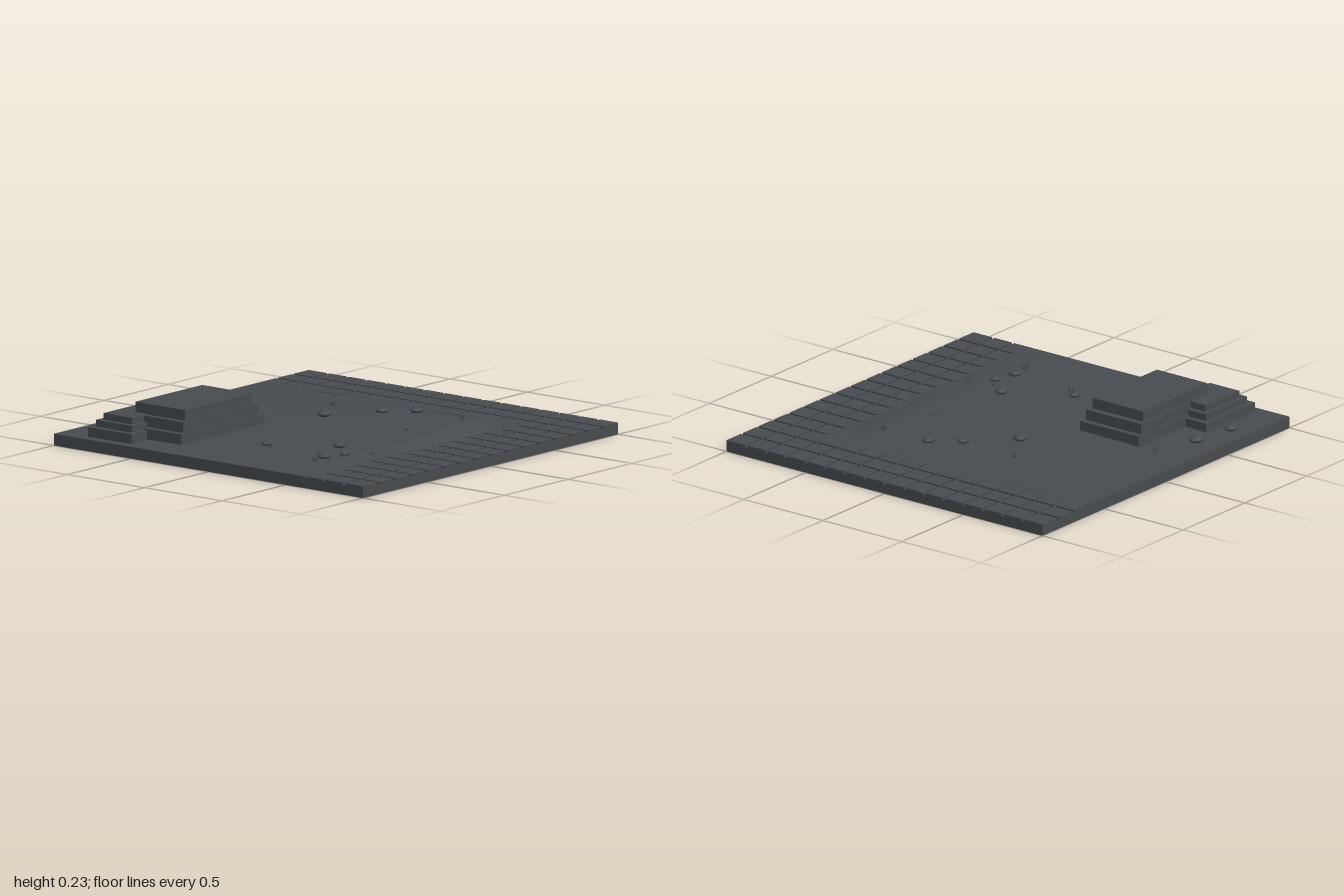
import * as THREE from 'three';

const stone = new THREE.MeshStandardMaterial({ color: 0x484c50 });
stone.name = 'dark slate';

const smooth = THREE.MathUtils.smoothstep;

// Height of the soil: almost flat at the back left, a low mound at the front right
function groundHeight(x, z) {
  const wobble = 0.02 * Math.sin(9 * x + 2) * Math.sin(8 * z);
  const edge = Math.max(x, z) + wobble;
  const corner = Math.hypot(Math.max(x - 0.4, 0), Math.max(z - 0.4, 0)) + 0.4;
  const inside = 1 - smooth(Math.max(edge, corner), 0.5, 0.65);
  const back = smooth(z, -1, -0.5) * smooth(x, -1, -0.75);
  const mound = 0.008 + 0.02 * smooth(x, -0.5, 0.45) * smooth(z, -0.8, 0.2);
  const sink = 0.012 * smooth(edge, 0.63, 0.71);
  return 0.06 + inside * back * mound - sink;
}

export function createModel() {
  const model = new THREE.Group();
  model.name = 'courtyard';

  const add = (geometry, name, x = 0, y = 0, z = 0, parent = model) => {
    const mesh = new THREE.Mesh(geometry, stone);
    mesh.name = name;
    mesh.position.set(x, y, z);
    parent.add(mesh);
    return mesh;
  };
  // Box given by its limits
  const block = (name, x0, x1, y0, y1, z0, z1, parent = model) =>
    add(new THREE.BoxGeometry(x1 - x0, y1 - y0, z1 - z0), name,
      (x0 + x1) / 2, (y0 + y1) / 2, (z0 + z1) / 2, parent);

  // Base slab and the soil bed on it
  block('baseSlab', -1, 1, 0, 0.048, -1, 1);
  block('soilBed', -1, 0.625, 0.048, 0.0595, -1, 0.625);

  // Uneven soil surface
  const soil = new THREE.PlaneGeometry(1.72, 1.72, 43, 43);
  soil.rotateX(-Math.PI / 2).translate(-0.14, 0, -0.14);
  const p = soil.attributes.position;
  for (let i = 0; i < p.count; i++) p.setY(i, groundHeight(p.getX(i), p.getZ(i)));
  soil.computeVertexNormals();
  add(soil, 'soilSurface');

  // Paving: three rows of tiles along the front and the right
  const paving = new THREE.Group();
  paving.name = 'paving';
  model.add(paving);
  const pitch = 0.125, gap = 0.008;
  for (let i = 0; i < 16; i++) {
    for (let j = 0; j < 16; j++) {
      if (i < 13 && j < 13) continue;
      const x = -1 + i * pitch, z = -1 + j * pitch;
      block('tile', x + (i ? gap : 0), x + pitch - (i < 15 ? gap : 0), 0.045, 0.06,
        z + (j ? gap : 0), z + pitch - (j < 15 ? gap : 0), paving);
    }
  }

  // Two overlapping stepped platforms: [x0, x1, top, z0, z1]
  const platforms = {
    largePlatform: [
      [-0.83, -0.176, 0.12, -0.69, -0.317],
      [-0.797, -0.208, 0.175, -0.678, -0.331],
      [-0.765, -0.241, 0.23, -0.665, -0.345],
    ],
    smallPlatform: [
      [-0.95, -0.555, 0.11, -0.82, -0.537],
      [-0.918, -0.585, 0.145, -0.795, -0.561],
      [-0.888, -0.615, 0.178, -0.77, -0.585],
    ],
  };
  for (const [name, tiers] of Object.entries(platforms)) {
    const group = new THREE.Group();
    group.name = name;
    model.add(group);
    let bottom = 0.05;
    for (const [x0, x1, top, z0, z1] of tiers) {
      block('tier', x0, x1, bottom, top, z0, z1, group);
      bottom = top;
    }
  }

  // Flat rounded stones: [x, z, radius]
  const profile = [[0, -0.1], [0.6, -0.1], [0.9, 0.12], [1, 0.3], [0.85, 0.45], [0.5, 0.6], [0, 0.64]]
    .map(([r, y]) => new THREE.Vector2(r, y));
  const pebble = new THREE.LatheGeometry(profile, 14);
  const pebbles = [
    [-0.67, -0.89, 0.04], [-0.43, -0.86, 0.045], [0.13, -0.18, 0.042], [0.35, 0.01, 0.037],
    [0.455, 0.147, 0.038], [-0.56, 0.015, 0.032], [-0.37, 0.33, 0.038], [-0.62, 0.44, 0.038],
    [-0.5, 0.47, 0.032], [-0.44, 0.425, 0.015], [0.117, 0.37, 0.018],
  ];
  for (const [x, z, r] of pebbles) {
    add(pebble, 'pebble', x, groundHeight(x, z), z).scale.set(r, r, r * 0.8);
  }

  // Grass tufts: thin leaning blades
  const blade = new THREE.ConeGeometry(0.0045, 1, 4).translate(0, 0.5, 0);
  const tufts = [[-0.71, 0.45, 0.075], [-0.6, 0.07, 0.035], [-0.39, 0.56, 0.04],
    [0.35, -0.31, 0.05], [-0.18, -0.79, 0.04], [0.465, 0.43, 0.06]];
  for (const [x, z, h] of tufts) {
    const tuft = new THREE.Group();
    tuft.name = 'grassTuft';
    tuft.position.set(x, groundHeight(x, z) - 0.004, z);
    model.add(tuft);
    for (let k = 0; k < 5; k++) {
      const a = k * 2.5 + x * 7;
      const b = add(blade, 'blade', 0.008 * Math.cos(a), 0, 0.008 * Math.sin(a), tuft);
      b.scale.y = h * (1 - 0.1 * k);
      b.rotation.set(0.28 * Math.sin(a), 0, -0.28 * Math.cos(a));
    }
  }
  return model;
}
